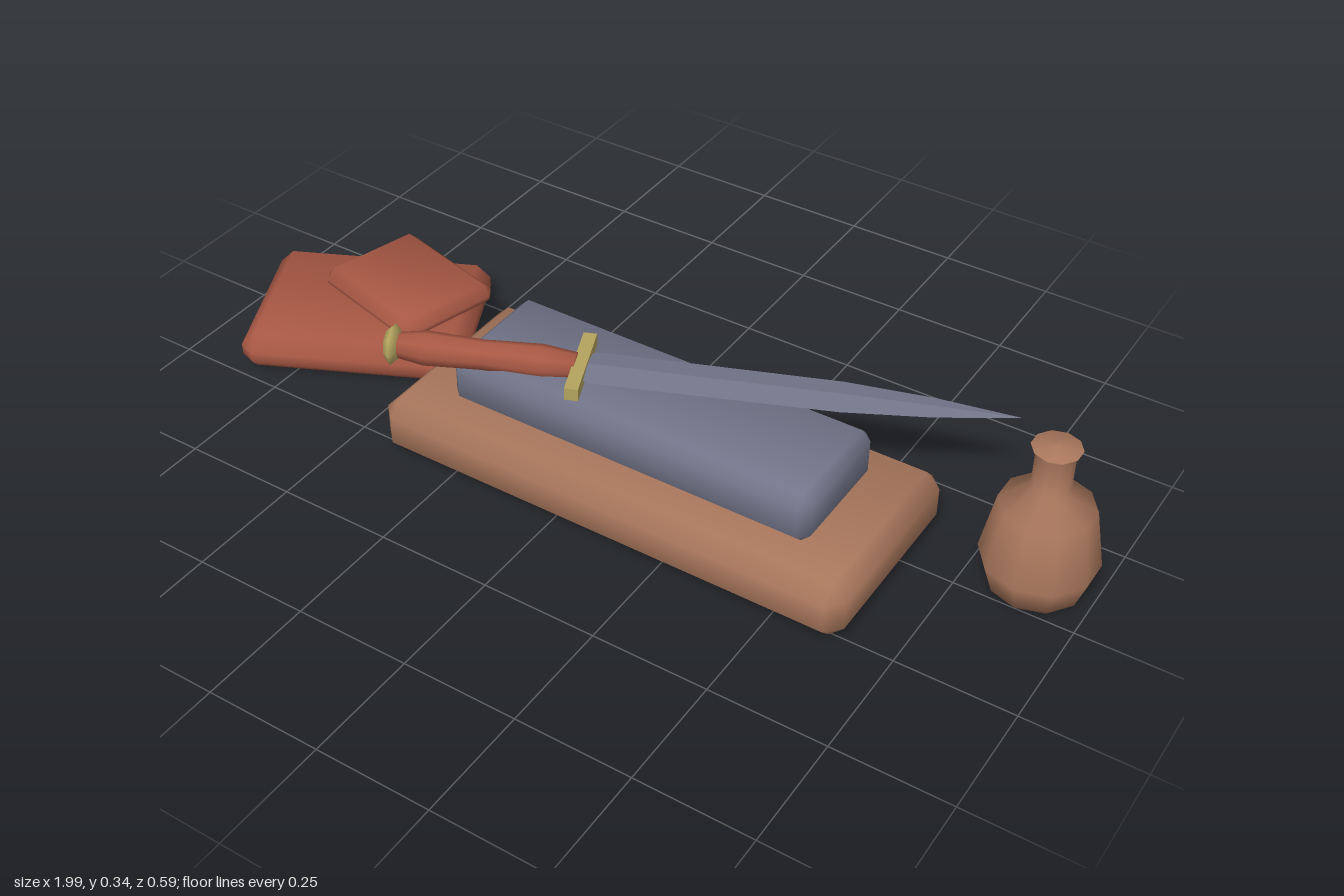
import * as THREE from 'three';
import { ConvexGeometry } from 'three/addons/geometries/ConvexGeometry.js';

const mat = (name, color) => {
  const m = new THREE.MeshStandardMaterial({ color });
  m.name = name;
  return m;
};

// Box with single chamfered edges and soft normals
function chamferBox(w, h, d, c) {
  const half = [w / 2, h / 2, d / 2];
  const points = [];
  for (const sx of [-1, 1]) for (const sy of [-1, 1]) for (const sz of [-1, 1]) {
    for (let axis = 0; axis < 3; axis++) {
      const p = half.map((v, i) => (i === axis ? v : v - c));
      points.push(new THREE.Vector3(p[0] * sx, p[1] * sy, p[2] * sz));
    }
  }
  const geo = new ConvexGeometry(points);
  const pos = geo.attributes.position, nor = geo.attributes.normal;
  for (let i = 0; i < pos.count; i++) {
    const p = [pos.getX(i), pos.getY(i), pos.getZ(i)];
    const n = new THREE.Vector3(...p.map((v, k) =>
      Math.sign(v) * (Math.abs(v) > half[k] - c * 0.5 ? 1 : 0.39))).normalize();
    nor.setXYZ(i, n.x, n.y, n.z);
  }
  return geo;
}

const lathe = (profile, sides) =>
  new THREE.LatheGeometry(profile.map(([r, y]) => new THREE.Vector2(r, y)), sides);

// Blade along +x with a diamond cross-section at each [x, halfWidth, halfThickness]
function bladeGeometry(stations) {
  const verts = [], index = [];
  for (const [x, w, t] of stations) verts.push(x, t, 0, x, 0, w, x, -t, 0, x, 0, -w);
  for (let s = 0; s < stations.length - 1; s++) {
    for (let k = 0; k < 4; k++) {
      const a = s * 4 + k, b = s * 4 + (k + 1) % 4;
      index.push(a, b, a + 4, b, b + 4, a + 4);
    }
  }
  index.push(0, 2, 1, 0, 3, 2);
  const geo = new THREE.BufferGeometry();
  geo.setAttribute('position', new THREE.Float32BufferAttribute(verts, 3));
  geo.setIndex(index);
  const flat = geo.toNonIndexed();
  flat.computeVertexNormals();
  return flat;
}

export function createModel() {
  const model = new THREE.Group();
  model.name = 'sharpeningSet';

  const wood = mat('brown', 0xa9775c);
  const steel = mat('blueGrey', 0x73768a);
  const cloth = mat('red', 0xa85844);
  const brass = mat('brass', 0xb3a35e);

  const add = (parent, name, geo, material, x, y, z, turn = 0) => {
    const mesh = new THREE.Mesh(geo, material);
    mesh.name = name;
    mesh.position.set(x, y, z);
    mesh.rotation.y = THREE.MathUtils.degToRad(turn);
    parent.add(mesh);
    return mesh;
  };

  // Board and whetstone
  add(model, 'board', chamferBox(1.07, 0.126, 0.445, 0.031), wood, 0.115, 0.068, 0.068);
  add(model, 'whetstone', chamferBox(0.825, 0.112, 0.268, 0.02), steel, 0.117, 0.186, 0.07);

  // Two folded cloths
  add(model, 'largeCloth', chamferBox(0.49, 0.084, 0.385, 0.03), cloth, -0.71, 0.042, -0.03, 25.5);
  add(model, 'smallCloth', chamferBox(0.312, 0.052, 0.25, 0.022), cloth, -0.643, 0.108, -0.095, -15);

  // Oil flask, closed at both ends
  add(model, 'flask', lathe([
    [0, 0.006], [0.097, 0.006], [0.118, 0.068], [0.094, 0.197],
    [0.038, 0.243], [0.038, 0.322], [0.049, 0.334], [0, 0.341],
  ], 10), wood, 0.88, 0, -0.092);

  // Knife, built along +x from the guard
  const knife = new THREE.Group();
  knife.name = 'knife';
  knife.position.set(-0.045, 0.256, 0.1);
  knife.rotation.y = THREE.MathUtils.degToRad(22.3);
  model.add(knife);

  add(knife, 'blade', bladeGeometry([
    [0, 0.042, 0.008], [0.035, 0.052, 0.009], [0.52, 0.049, 0.008],
    [0.7, 0.031, 0.005], [0.865, 0.001, 0.001],
  ]), steel, 0, 0, 0);
  add(knife, 'guard', new THREE.BoxGeometry(0.028, 0.028, 0.188), brass, 0, 0, 0);

  const handle = lathe([
    [0, -0.385], [0.025, -0.385], [0.036, -0.32], [0.031, -0.2],
    [0.036, -0.08], [0.027, -0.01], [0, -0.01],
  ], 8).rotateZ(-Math.PI / 2);
  add(knife, 'handle', handle, cloth, 0, 0, 0);

  const pommel = new THREE.SphereGeometry(0.043, 8, 4)
    .rotateZ(-Math.PI / 2).scale(0.42, 1, 1);
  add(knife, 'pommel', pommel, brass, -0.387, 0, 0);

  return model;
}
